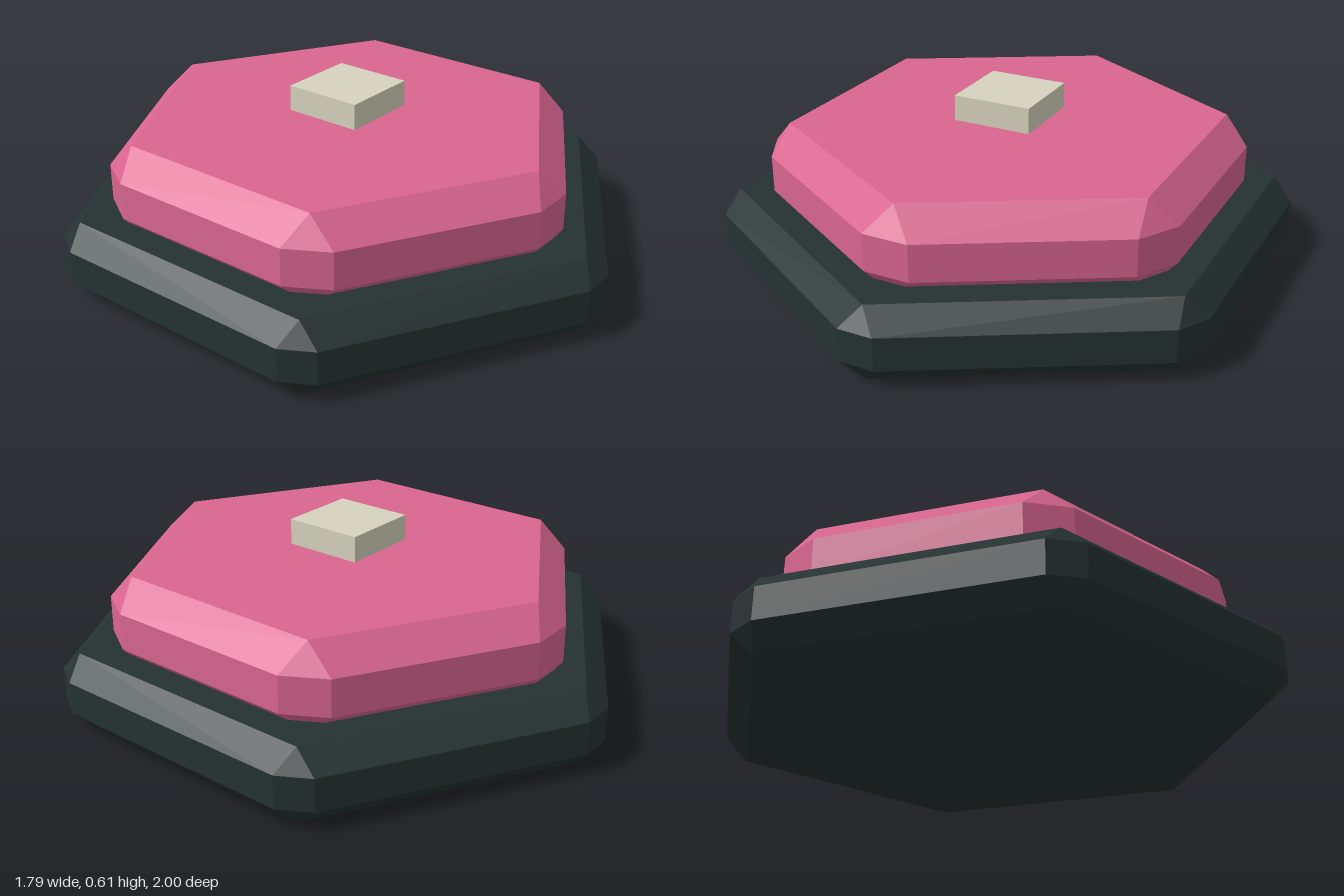
import * as THREE from 'three';
import { ConvexGeometry } from 'three/addons/geometries/ConvexGeometry.js';

// Hexagonal slab with every edge and corner chamfered.
// outer: radius before chamfering, inner: radius of top and bottom faces, cut: corner chamfer
function bevelledHexagon(outer, inner, cut, [y0, y1, y2, y3]) {
  const points = [];
  for (let i = 0; i < 6; i++) {
    const angle = (i * Math.PI) / 3;
    const corner = (r) => (a) => new THREE.Vector3(Math.sin(a) * r, 0, Math.cos(a) * r);
    const here = corner(outer)(angle);
    for (const y of [y0, y3]) points.push(corner(inner)(angle).setY(y));
    for (const side of [-1, 1]) {
      const p = here.clone().lerp(corner(outer)(angle + (side * Math.PI) / 3), cut / outer);
      for (const y of [y1, y2]) points.push(p.clone().setY(y));
    }
  }
  return new ConvexGeometry(points);
}

function material(name, color) {
  const m = new THREE.MeshStandardMaterial({ color });
  m.name = name;
  return m;
}

export function createModel() {
  const group = new THREE.Group();
  const add = (name, geometry, mat) => {
    const mesh = new THREE.Mesh(geometry, mat);
    mesh.name = name;
    group.add(mesh);
    return mesh;
  };

  // Wide dark base
  add('base', bevelledHexagon(1.035, 0.95, 0.07, [0, 0.072, 0.185, 0.256]), material('darkSlate', 0x253232));

  // Pink slab, its lower chamfer sunk into the base
  add('upperSlab', bevelledHexagon(0.866, 0.76, 0.092, [0.19, 0.283, 0.41, 0.502]), material('pink', 0xd9658f));

  // Small plate floating just above the slab
  add('centrePlate', new THREE.BoxGeometry(0.28, 0.09, 0.28), material('beige', 0xd6d2be)).position.set(0, 0.566, 0);

  return group;
}
